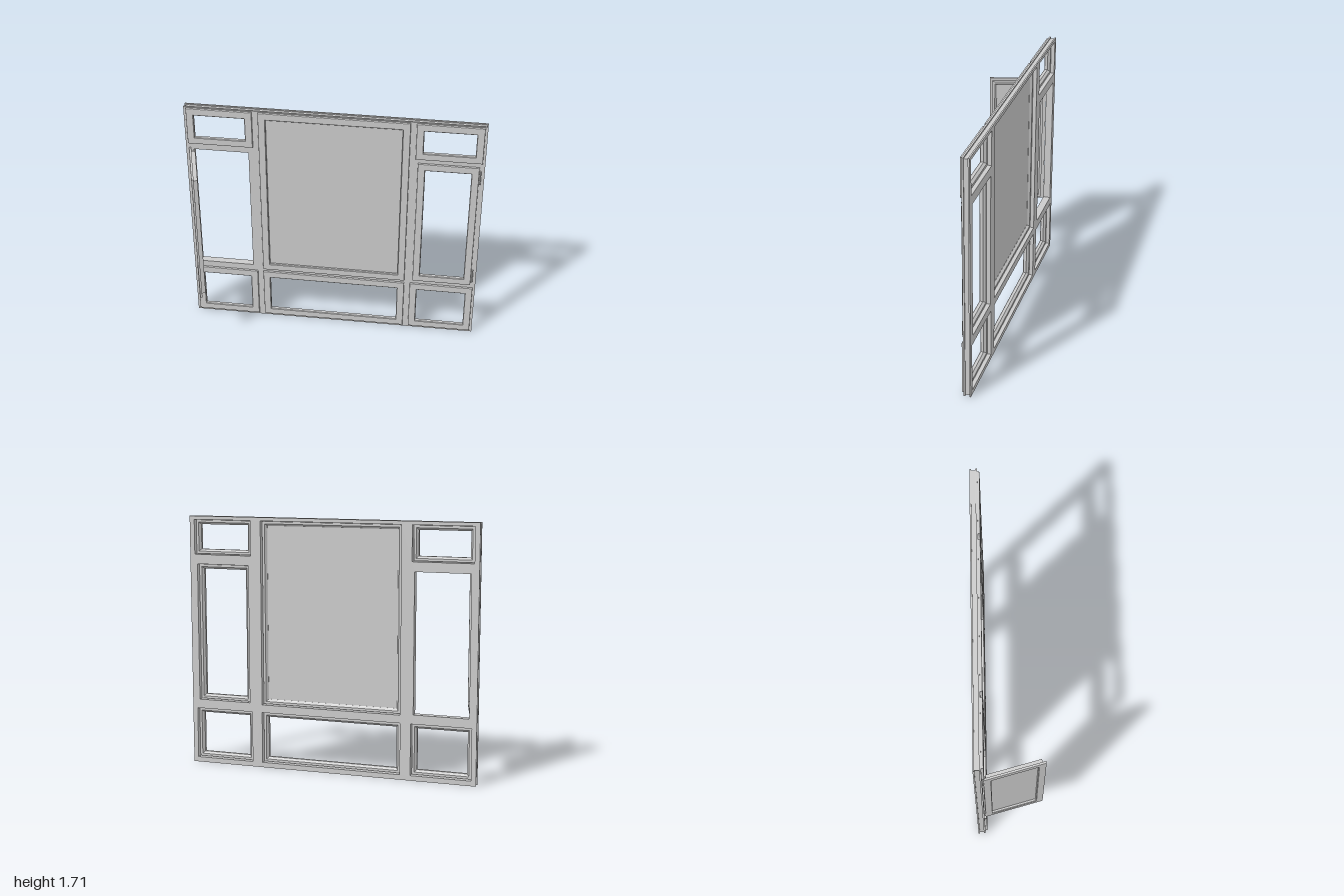
import * as THREE from 'three';
import { mergeGeometries } from 'three/addons/utils/BufferGeometryUtils.js';

const H = 1.705;
const grey = new THREE.MeshStandardMaterial({ color: 0xcccccc, flatShading: true });
const glassMat = new THREE.MeshStandardMaterial({ color: 0xcccccc, side: THREE.DoubleSide });

// Sash cross-section: [inset from the outer edge, depth behind the front face]
const SASH = [
  [0, -0.005], [0.0015, -0.0015], [0.005, 0], [0.046, 0], [0.05, -0.004],
  [0.05, -0.024], [0.047, -0.026], [0.036, -0.04], [0.02, -0.04], [0.02, -0.015], [0, -0.015],
];

// Sweeps a closed profile around a rectangle with mitred corners
function rectRing([x0, x1, y0, y1], profile) {
  const pos = [];
  const corner = (k, [inset, z]) => [
    k === 0 || k === 3 ? x0 + inset : x1 - inset,
    k < 2 ? y0 + inset : y1 - inset,
    z,
  ];
  for (let k = 0; k < 4; k++) {
    const n = (k + 1) % 4;
    profile.forEach((p, i) => {
      const q = profile[(i + 1) % profile.length];
      const a = corner(k, p), b = corner(n, p), c = corner(n, q), d = corner(k, q);
      pos.push(...a, ...b, ...c, ...a, ...c, ...d);
    });
  }
  const geo = new THREE.BufferGeometry();
  geo.setAttribute('position', new THREE.Float32BufferAttribute(pos, 3));
  geo.computeVertexNormals();
  return geo;
}

function add(parent, name, geo, mat = grey) {
  const mesh = new THREE.Mesh(geo, mat);
  mesh.name = name;
  parent.add(mesh);
  return mesh;
}

// One sash, its front face at z = 0, with an optional pane
function makeSash(name, rect, glazed) {
  const sash = new THREE.Group();
  sash.name = name;
  add(sash, 'sashFrame', rectRing(rect, SASH));
  if (glazed) {
    const [x0, x1, y0, y1] = rect;
    const pane = add(sash, 'pane', new THREE.BoxGeometry(x1 - x0 - 0.098, y1 - y0 - 0.098, 0.006), glassMat);
    pane.position.set((x0 + x1) / 2, (y0 + y1) / 2, -0.02);
  }
  return sash;
}

// Slab of the main frame, pierced by all the openings
function frameLayer(openings, inset, z0, z1) {
  const path = (P, [x0, x1, y0, y1]) => {
    const p = new P();
    p.moveTo(x0, y0);
    p.lineTo(x1, y0);
    p.lineTo(x1, y1);
    p.lineTo(x0, y1);
    p.closePath();
    return p;
  };
  const shape = path(THREE.Shape, [-1 + inset, 1 - inset, inset, H - inset]);
  shape.holes = openings.map((r) => path(THREE.Path, r));
  return new THREE.ExtrudeGeometry(shape, { depth: z1 - z0, bevelEnabled: false }).translate(0, 0, z0);
}

// A pair of small hinges on a vertical edge
function addHinges(parent, x, z) {
  for (const y of [0.505, 1.32]) {
    const hinge = add(parent, 'hinge', new THREE.CylinderGeometry(0.007, 0.007, 0.1, 10));
    hinge.position.set(x, y, z);
  }
}

export function createModel() {
  const model = new THREE.Group();
  model.name = 'window';
  const front = -0.16;

  const mirror = ([x0, x1, y0, y1]) => [-x1, -x0, y0, y1];
  const top = [0.543, 0.983, 1.43, 1.698];
  const side = [0.56, 0.965, 0.428, 1.397];
  const bottom = [0.543, 0.983, 0.018, 0.398];
  const centre = [-0.503, 0.503, 0.42, 1.698];
  const centreBottom = [-0.503, 0.503, 0.018, 0.398];

  // Main frame with a shallow groove around its outer edge
  const openings = [top, side, bottom, mirror(top), mirror(side), mirror(bottom), centre, centreBottom]
    .map(([x0, x1, y0, y1]) => [x0 + 0.016, x1 - 0.016, y0 + 0.016, y1 - 0.016]);
  add(model, 'mainFrame', mergeGeometries([
    frameLayer(openings, 0, -0.225, -0.215),
    frameLayer(openings, 0.008, -0.215, -0.187),
    frameLayer(openings, 0, -0.187, -0.175),
  ]));

  // Sashes closed in the frame
  const closed = [
    ['topLeftSash', top], ['topRightSash', mirror(top)],
    ['bottomLeftSash', bottom], ['bottomRightSash', mirror(bottom)],
    ['leftCasement', side], ['centreSash', centre, true], ['centreBottomSash', centreBottom],
  ];
  for (const [name, rect, glazed] of closed) {
    const sash = makeSash(name, rect, glazed);
    sash.position.z = front;
    model.add(sash);
  }
  addHinges(model, 0.972, -0.168);

  // Casement swung open on the right side
  const width = side[1] - side[0];
  const open = makeSash('openCasement', [0, width, side[2], side[3]], true);
  open.position.set(-0.98, 0, -0.166);
  open.rotation.y = -THREE.MathUtils.degToRad(75);
  model.add(open);
  addHinges(model, -0.972, -0.168);

  return model;
}
